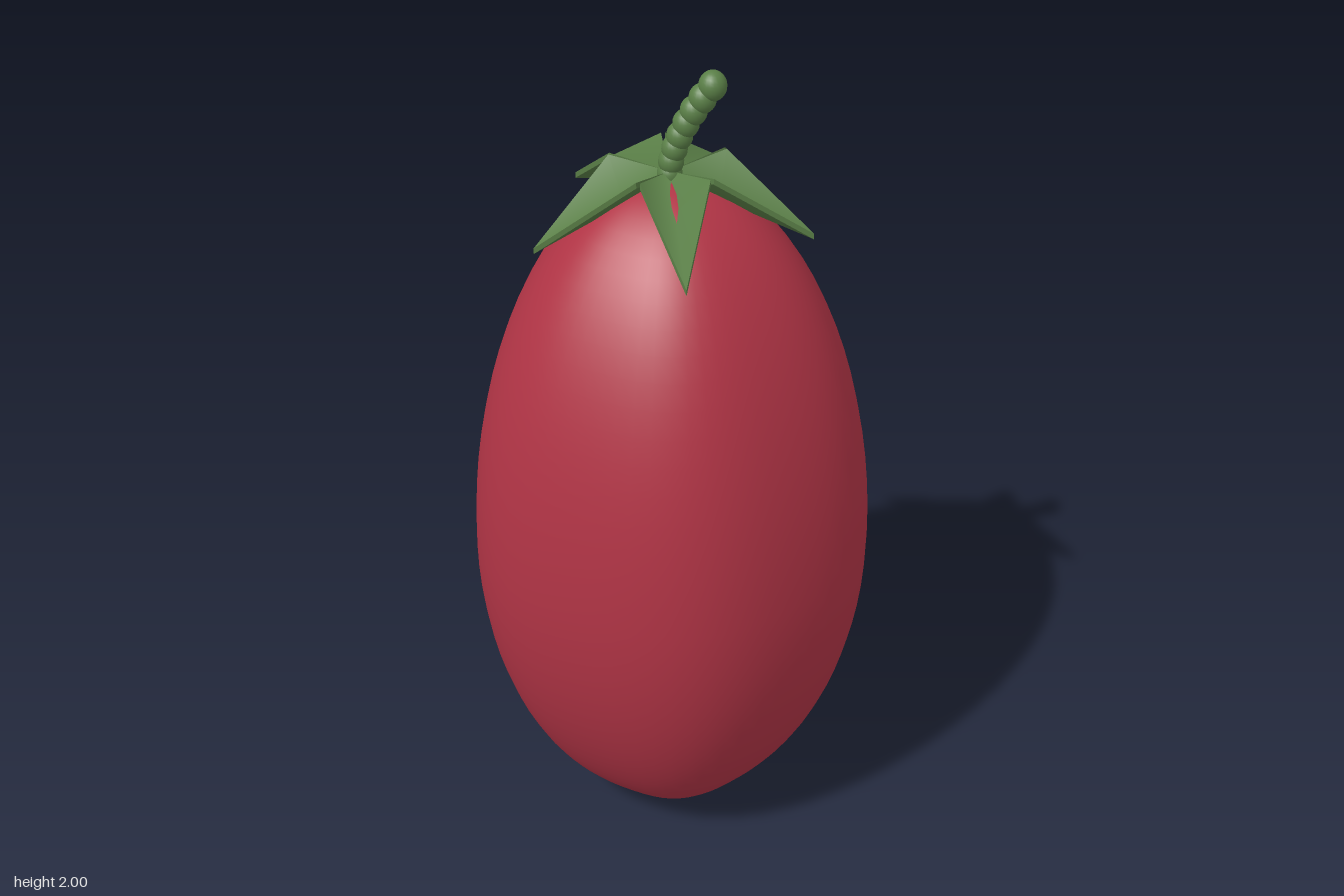
import * as THREE from 'three';
import { mergeVertices } from 'three/addons/utils/BufferGeometryUtils.js';

const red = new THREE.MeshStandardMaterial({ name: 'fruit red', color: 0xb03445 });
const green = new THREE.MeshStandardMaterial({ name: 'leaf green', color: 0x5a7f47 });
const CENTER_X = -0.01;

// Egg-shaped body, widest below the middle, with five faint lobes
function makeBody() {
  let geo = new THREE.SphereGeometry(1, 60, 40);
  geo.deleteAttribute('uv');
  geo.deleteAttribute('normal');
  geo = mergeVertices(geo, 1e-4);
  const p = geo.attributes.position;
  for (let i = 0; i < p.count; i++) {
    const x = p.getX(i), y = p.getY(i), z = p.getZ(i);
    const a = Math.atan2(z, x);
    const r = 0.468 + 0.01 * Math.cos(5 * a) + 0.006 * Math.cos(2 * a);
    p.setXYZ(i, x * r, 0.8 + y * (y > 0 ? 0.94 : 0.8), z * r);
  }
  geo.computeVertexNormals();
  const mesh = new THREE.Mesh(geo, red);
  mesh.name = 'fruitBody';
  mesh.position.x = CENTER_X;
  return mesh;
}

// Kite-shaped sepal folded along its midrib, pointing along +x
function makeSepalGeometry() {
  const top = [
    [0, 1.75, 0],          // base
    [0.115, 1.78, 0.078],  // shoulder
    [0.33, 1.628, 0],      // tip
    [0.115, 1.78, -0.078], // shoulder
    [0.115, 1.705, 0],     // midrib
  ];
  const low = top.map(([x, y, z]) => [x, y - 0.014, z]);
  const points = [...top, ...low];
  const faces = [[0, 4, 3], [0, 1, 4], [4, 2, 3], [1, 2, 4]];
  const index = [];
  for (const [a, b, c] of faces) index.push(a, b, c, a + 5, c + 5, b + 5);
  // Thin rim with its own corners, so its edges stay sharp
  for (let i = 0; i < 4; i++) {
    const j = (i + 1) % 4, n = points.length;
    points.push(top[i], low[i], low[j], top[j]);
    index.push(n, n + 1, n + 2, n, n + 2, n + 3);
  }
  const geo = new THREE.BufferGeometry();
  geo.setAttribute('position', new THREE.Float32BufferAttribute(points.flat(), 3));
  geo.setIndex(index);
  geo.computeVertexNormals();
  return geo;
}

// Five sepals in a star
function makeCalyx() {
  const calyx = new THREE.Group();
  calyx.name = 'calyx';
  calyx.position.x = CENTER_X;
  const geo = makeSepalGeometry();
  for (let i = 0; i < 5; i++) {
    const sepal = new THREE.Mesh(geo, green);
    sepal.name = 'sepal';
    sepal.rotation.y = (i * 2 * Math.PI) / 5;
    calyx.add(sepal);
  }
  return calyx;
}

// Curved stem made of overlapping beads
function makeStem() {
  const stem = new THREE.Group();
  stem.name = 'stem';
  const geo = new THREE.SphereGeometry(1, 20, 14);
  const count = 8;
  for (let i = 0; i < count; i++) {
    const t = i / (count - 1);
    const r = 0.029 + 0.003 * t;
    const bead = new THREE.Mesh(geo, green);
    bead.name = 'stemBead';
    bead.scale.set(r, r * 1.1, r);
    bead.position.set(CENTER_X + 0.096 * Math.pow(t, 1.7), 1.745 + 0.22 * t, 0);
    stem.add(bead);
  }
  return stem;
}

export function createModel() {
  const model = new THREE.Group();
  model.name = 'fruit';
  model.add(makeBody(), makeCalyx(), makeStem());
  return model;
}
